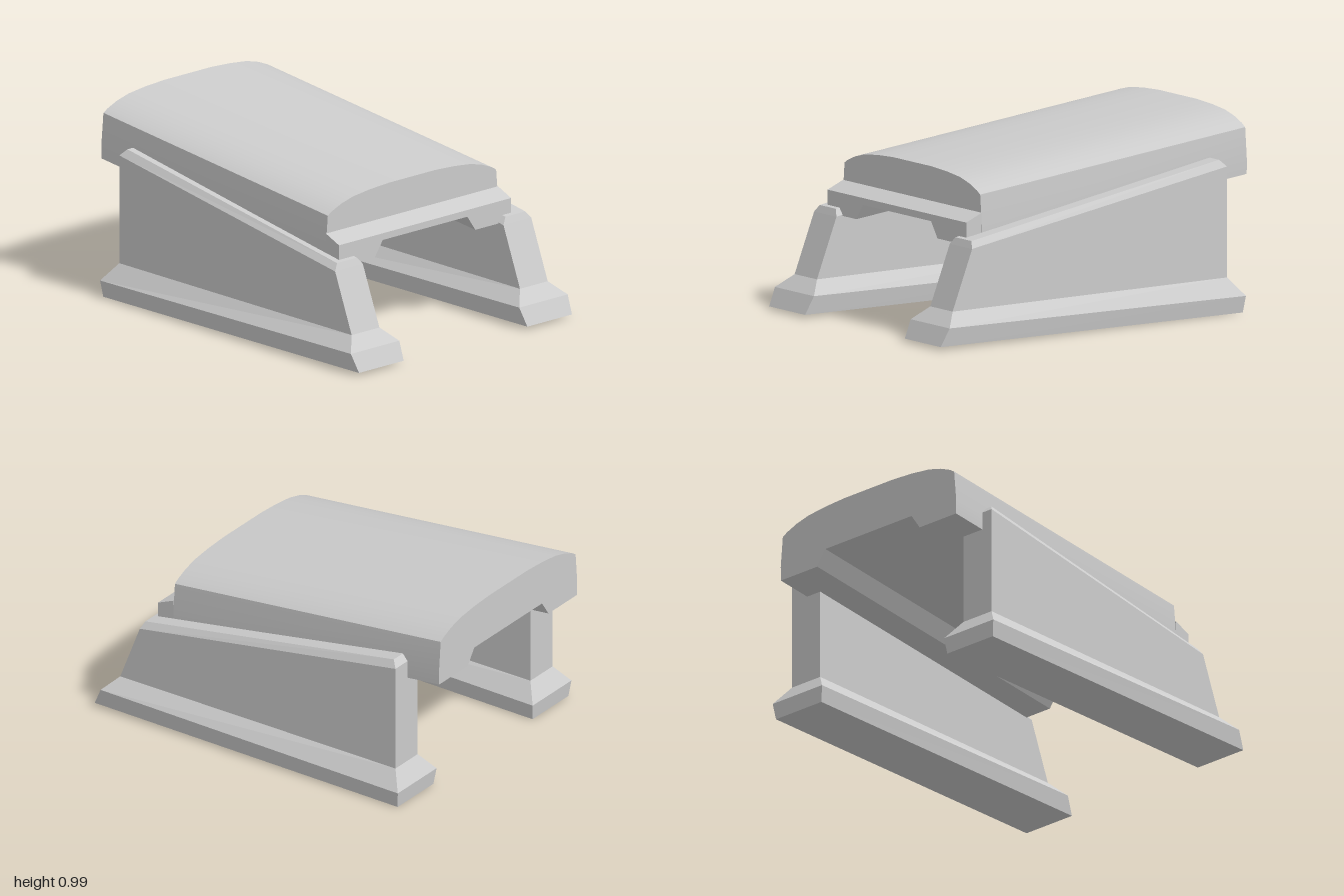
import * as THREE from 'three';
import { toCreasedNormals } from 'three/addons/utils/BufferGeometryUtils.js';

const flat = new THREE.MeshStandardMaterial({ color: 0xcccccc, flatShading: true });
const smooth = new THREE.MeshStandardMaterial({ color: 0xcccccc });

// Rings of a side support: back x, y, front x, y, half thickness in z
const RINGS = [
  [-0.86, 0.0, 1.0, 0.015, 0.153],     // foot bottom
  [-0.87, 0.085, 0.955, 0.107, 0.166], // foot top edge
  [-0.805, 0.175, 0.885, 0.175, 0.095], // wall bottom
  [-0.805, 0.737, 0.765, 0.48, 0.095], // wall top
  [-0.775, 0.77, 0.75, 0.515, 0.068],  // chamfered rim
];

function supportGeometry() {
  const pos = [], index = [];
  for (const [xb, yb, xf, yf, h] of RINGS) {
    pos.push(xb, yb, h, xf, yf, h, xf, yf, -h, xb, yb, -h);
  }
  const quad = (a, b, c, d) => index.push(a, b, c, a, c, d);
  for (let r = 0; r < RINGS.length - 1; r++) {
    for (let i = 0; i < 4; i++) {
      const j = (i + 1) % 4, lo = r * 4, hi = lo + 4;
      quad(lo + i, lo + j, hi + j, hi + i);
    }
  }
  quad(3, 2, 1, 0);
  const t = (RINGS.length - 1) * 4;
  quad(t, t + 1, t + 2, t + 3);
  const g = new THREE.BufferGeometry();
  g.setAttribute('position', new THREE.Float32BufferAttribute(pos, 3));
  g.setIndex(index);
  const out = g.toNonIndexed();
  out.computeVertexNormals();
  return out;
}

// Half cross-sections as [z, y] at the rear end, running from underside to top
const UNDERSIDE = [[0.29, 0.745], [0.345, 0.665], [0.59, 0.665]];
const CROWN = [[0.591, 0.74], [0.577, 0.9], [0.548, 0.918], [0.485, 0.944],
  [0.405, 0.965], [0.29, 0.978], [0.16, 0.985]];
const SLOPE = 0.107;

// Sweep a mirrored section along x, leaning it down towards the front
function slopedPrism(half, x0, x1, yShift = () => 0) {
  const mirrored = half.map(([z, y]) => [-z, y]).reverse();
  const shape = new THREE.Shape([...half, ...mirrored].map(([z, y]) => new THREE.Vector2(z, y)));
  const g = new THREE.ExtrudeGeometry(shape, { depth: x1 - x0, bevelEnabled: false });
  g.rotateY(Math.PI / 2);
  g.translate(x0, 0, 0.02);
  const p = g.attributes.position;
  for (let i = 0; i < p.count; i++) {
    const x = p.getX(i), y = p.getY(i);
    p.setY(i, y - SLOPE * (x + 1) + yShift(x, y));
  }
  return toCreasedNormals(g, 0.85);
}

export function createModel() {
  const model = new THREE.Group();
  const add = (name, geometry, material) => {
    const mesh = new THREE.Mesh(geometry, material);
    mesh.name = name;
    model.add(mesh);
    return mesh;
  };

  // Two matching side supports with flared feet
  const support = supportGeometry();
  add('leftSupport', support, flat).position.z = 0.577;
  add('rightSupport', support, flat).position.z = -0.577;

  // Arched roof with a channel along its underside
  add('archedRoof', slopedPrism([...UNDERSIDE, ...CROWN], -1, 0.632), smooth);

  // Low lip in front of the roof, its top falling more steeply
  const lip = [...UNDERSIDE, [0.59, 0.81]];
  add('frontLip', slopedPrism(lip, 0.632, 0.727,
    (x, y) => (y > 0.8 && x > 0.7 ? -0.03 : 0)), smooth);

  return model;
}
